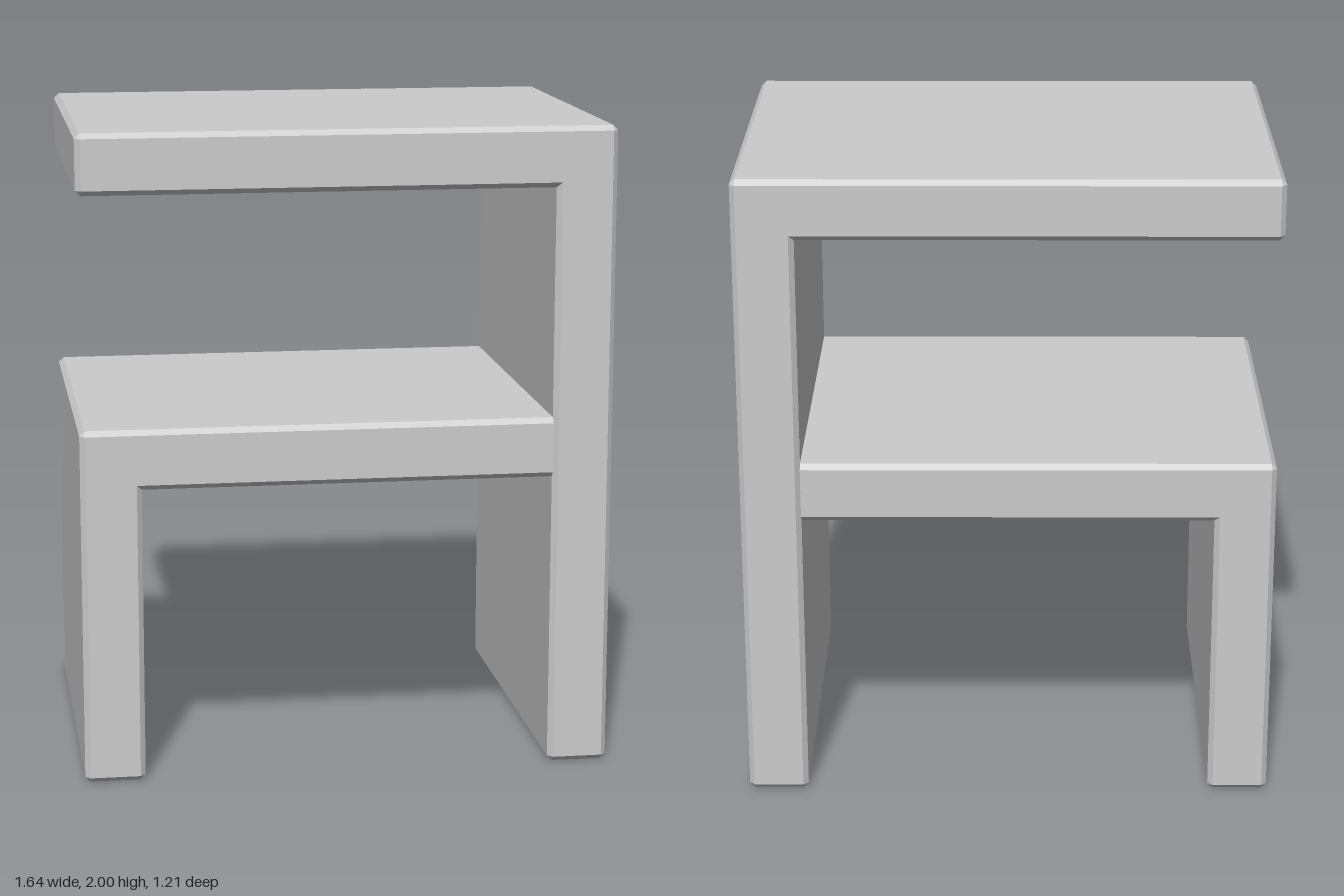
import * as THREE from 'three';

const W = 0.818;      // half width
const D = 0.603;      // half depth
const T = 0.186;      // board thickness
const TOP = 2;        // table top height
const SHELF = 1.105;  // shelf height
const BEVEL = 0.016;

// Extrudes a right-angled, counter-clockwise profile along z with every convex edge
// chamfered. The edge numbered squareEdge stays plain, to butt against another board.
function chamferedBoard(profile, squareEdge = -1) {
  const n = profile.length;
  const pts = profile.map(([x, y]) => new THREE.Vector2(x, y));
  const dir = pts.map((p, i) => pts[(i + 1) % n].clone().sub(p).normalize());
  const bevel = pts.map((_, i) => (i === squareEdge ? 0 : BEVEL));
  const cap = [], inner = [], outer = [];

  pts.forEach((p, i) => {
    const k = (i + n - 1) % n;
    const inset = p.clone();
    for (const e of [k, i]) inset.add(new THREE.Vector2(-dir[e].y, dir[e].x).multiplyScalar(bevel[e]));
    cap.push(inset);
    const convex = dir[k].cross(dir[i]) > 0;
    const cut = convex ? Math.min(bevel[k], bevel[i]) : 0;
    if (cut > 0) {
      inner.push(inset, inset);
      outer.push(p.clone().addScaledVector(dir[k], -cut), p.clone().addScaledVector(dir[i], cut));
    } else {
      inner.push(inset);
      outer.push(p);
    }
  });

  const pos = [];
  const tri = (...corners) => corners.forEach(([p, z]) => pos.push(p.x, p.y, z));
  const rings = [[inner, -D], [outer, -D + BEVEL], [outer, D - BEVEL], [inner, D]];

  // Sides and chamfers
  for (let r = 0; r < 3; r++) {
    const [a, za] = rings[r], [b, zb] = rings[r + 1];
    for (let i = 0; i < a.length; i++) {
      const j = (i + 1) % a.length;
      if (a[i] !== a[j]) tri([a[i], za], [a[j], za], [b[j], zb]);
      if (b[i] !== b[j]) tri([a[i], za], [b[j], zb], [b[i], zb]);
    }
  }

  // Front and back faces
  for (const [a, b, c] of THREE.ShapeUtils.triangulateShape(cap, [])) {
    tri([cap[a], D], [cap[b], D], [cap[c], D]);
    tri([cap[c], -D], [cap[b], -D], [cap[a], -D]);
  }

  const geometry = new THREE.BufferGeometry();
  geometry.setAttribute('position', new THREE.Float32BufferAttribute(pos, 3));
  geometry.computeVertexNormals();
  return geometry;
}

export function createModel() {
  const group = new THREE.Group();
  group.name = 'sideTable';
  const material = new THREE.MeshStandardMaterial({ color: 0xcccccc, flatShading: true });

  const add = (name, geometry) => {
    const mesh = new THREE.Mesh(geometry, material);
    mesh.name = name;
    group.add(mesh);
  };

  // Tall upright with the cantilevered top
  add('uprightAndTop', chamferedBoard([
    [W - T, 0], [W, 0], [W, TOP], [-W, TOP], [-W, TOP - T], [W - T, TOP - T],
  ]));

  // Short leg with the shelf that meets the upright
  add('legAndShelf', chamferedBoard([
    [-W, 0], [-W + T, 0], [-W + T, SHELF - T], [W - T, SHELF - T], [W - T, SHELF], [-W, SHELF],
  ], 3));

  return group;
}
